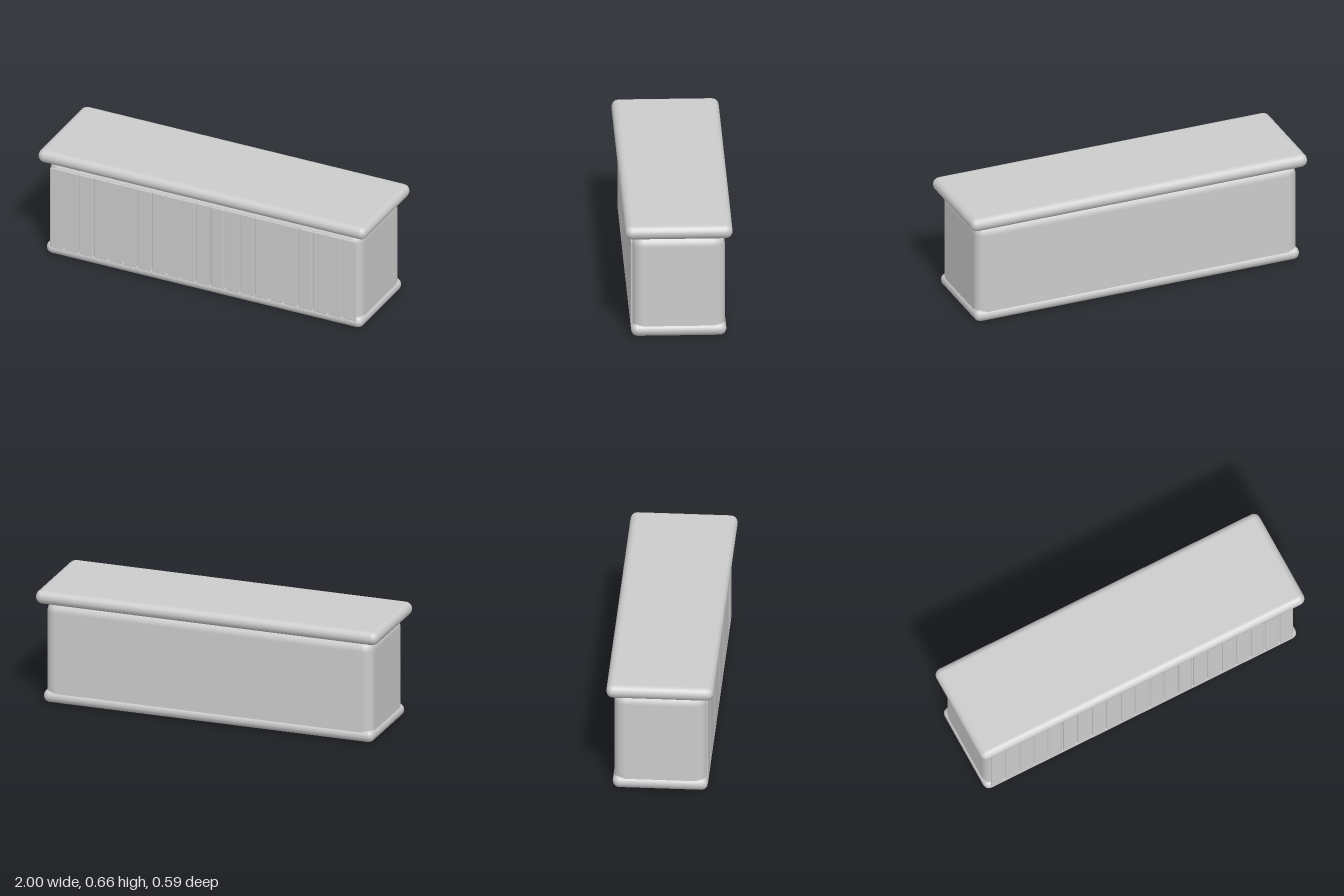
import * as THREE from 'three';
import { RoundedBoxGeometry } from 'three/addons/geometries/RoundedBoxGeometry.js';

export function createModel() {
  const model = new THREE.Group();
  model.name = 'counter';
  const grey = new THREE.MeshStandardMaterial({ color: 0xcccccc });
  grey.name = 'light grey';

  // Rounded block standing between two heights
  function block(name, width, bottom, top, depth, radius, segments = 2) {
    const mesh = new THREE.Mesh(
      new RoundedBoxGeometry(width, top - bottom, depth, segments, radius), grey);
    mesh.position.y = (bottom + top) / 2;
    mesh.name = name;
    model.add(mesh);
    return mesh;
  }

  block('body', 1.91, 0, 0.59, 0.507, 0.061);
  block('basePlinth', 1.93, 0.004, 0.077, 0.522, 0.036);
  block('counterTop', 2, 0.581, 0.659, 0.588, 0.0385);

  // Row of thin vertical slats along the front
  const count = 21, pitch = 0.0892;
  for (let i = 0; i < count; i++) {
    const slat = block('frontSlat', 0.079, 0.055, 0.552, 0.01, 0.004, 1);
    slat.position.x = (i - (count - 1) / 2) * pitch;
    slat.position.z = 0.257;
  }
  return model;
}
